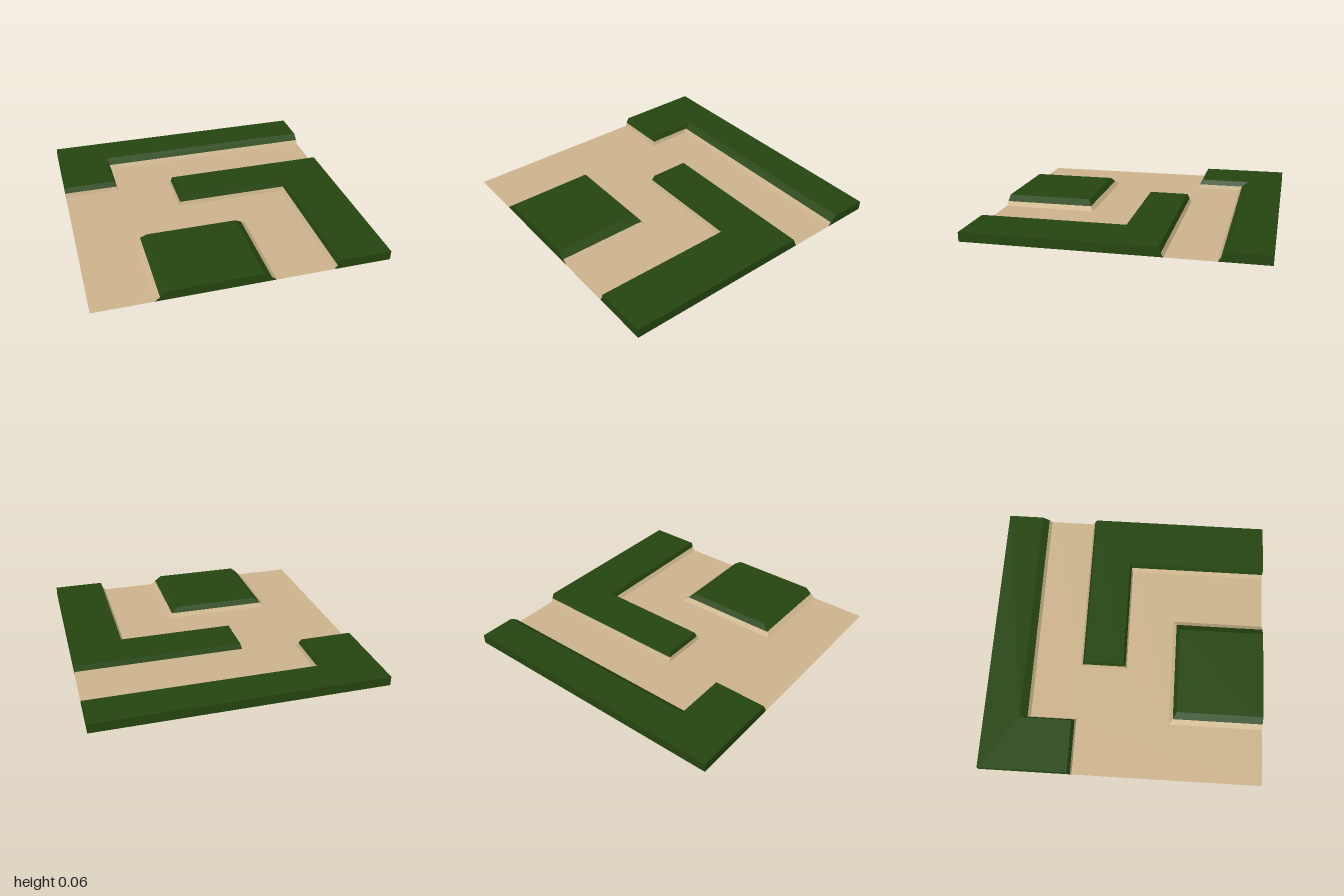
import * as THREE from 'three';

const sand = new THREE.MeshStandardMaterial({ color: 0xcbb38b, side: THREE.DoubleSide });
const grass = new THREE.MeshStandardMaterial({ color: 0x25450f, side: THREE.DoubleSide });
sand.name = 'sand';
grass.name = 'grass';

const MID = 0.028, TOP = 0.065;

// Flat sheet from a list of [x, z] corners at height y
function sheet(name, points, y, material) {
  const shape = new THREE.Shape(points.map(([x, z]) => new THREE.Vector2(x, -z)));
  const geometry = new THREE.ShapeGeometry(shape).rotateX(-Math.PI / 2).translate(0, y, 0);
  const mesh = new THREE.Mesh(geometry, material);
  mesh.name = name;
  return mesh;
}

// Sloping faces between two loops; keep(i, j) picks which edges are built
function band(name, low, y0, high, y1, material, keep) {
  const positions = [];
  low.forEach((a, i) => {
    const j = (i + 1) % low.length;
    if (!keep(a, low[j])) return;
    const p = [a[0], y0, a[1]], q = [low[j][0], y0, low[j][1]];
    const r = [high[j][0], y1, high[j][1]], s = [high[i][0], y1, high[i][1]];
    positions.push(...p, ...q, ...r, ...p, ...r, ...s);
  });
  const geometry = new THREE.BufferGeometry();
  geometry.setAttribute('position', new THREE.Float32BufferAttribute(positions, 3));
  geometry.computeVertexNormals();
  const mesh = new THREE.Mesh(geometry, material);
  mesh.name = name;
  return mesh;
}

// An edge lying on the rim of the square tile
const onRim = (a, b) => [0, 1].some(k => Math.abs(a[k]) === 1 && a[k] === b[k]);

// Raised grassy plateau: sandy foot, grassy shoulder, flat top, open underside
function plateau(name, base, mid, top) {
  const group = new THREE.Group();
  group.name = name;
  group.add(
    band('sandyFoot', base, 0, mid, MID, sand, (a, b) => !onRim(a, b)),
    band('rimWall', base, 0, mid, MID, grass, onRim),
    band('grassShoulder', mid, MID, top, TOP, grass, () => true),
    sheet('grassTop', top, TOP, grass),
  );
  return group;
}

// Corner lists, going counterclockwise from above
const backLoop = (x, zLeft, zRight) =>
  [[-1, zLeft], [x, zLeft], [x, zRight], [1, zRight], [1, -1], [-1, -1]];
const hookLoop = (xTip, xLeg, zBack, zFront) =>
  [[xLeg, 1], [1, 1], [1, zBack], [xTip, zBack], [xTip, zFront], [xLeg, zFront]];
const moundLoop = (x0, x1, z) => [[x0, 1], [x1, 1], [x1, z], [x0, z]];

export function createModel() {
  const model = new THREE.Group();
  model.name = 'pathTile';

  // Path between the plateaus
  model.add(sheet('sandPath', [
    [-1, -0.34], [-0.6, -0.34], [-0.6, -0.67], [1, -0.67], [1, -0.34], [-0.2, -0.34], [-0.2, 0],
    [0.6, 0], [0.6, 1], [0.2, 1], [0.2, 0.33], [-0.6, 0.33], [-0.6, 1], [-1, 1],
  ], 0, sand));

  model.add(
    plateau('backPlateau',
      backLoop(-0.6, -0.34, -0.67), backLoop(-0.61, -0.35, -0.69), backLoop(-0.625, -0.37, -0.74)),
    plateau('hookPlateau',
      hookLoop(-0.2, 0.6, -0.34, 0), hookLoop(-0.19, 0.62, -0.325, -0.01), hookLoop(-0.18, 0.63, -0.31, -0.025)),
    plateau('frontMound',
      moundLoop(-0.6, 0.2, 0.33), moundLoop(-0.565, 0.165, 0.355), moundLoop(-0.52, 0.115, 0.38)),
  );
  return model;
}
